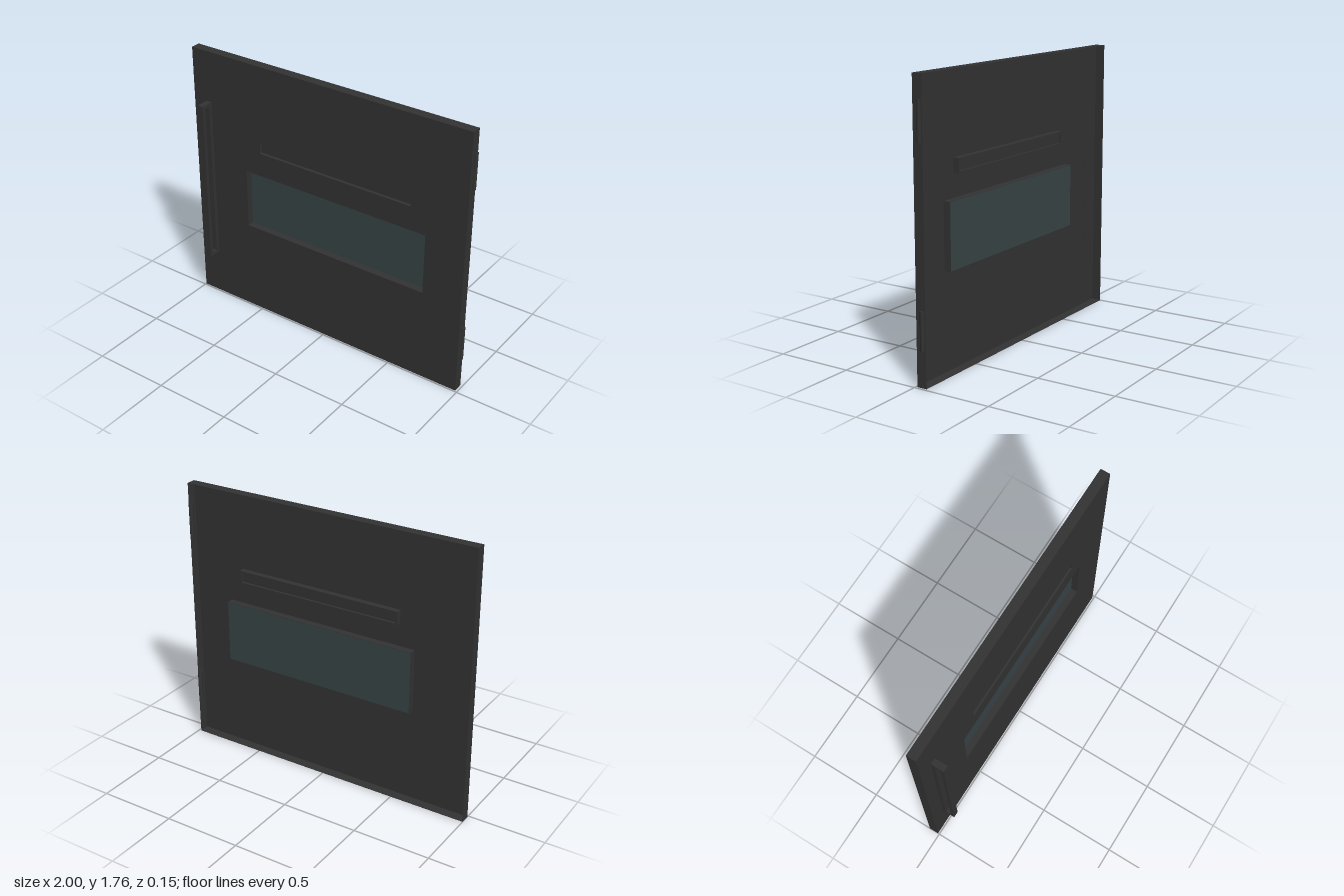
import * as THREE from 'three';

const body = new THREE.MeshStandardMaterial({ color: 0x333333, side: THREE.DoubleSide });
const glass = new THREE.MeshStandardMaterial({ color: 0x384446, side: THREE.DoubleSide });

// Rectangles are [x0, x1, y0, y1]
function rectPath(target, [x0, x1, y0, y1]) {
  target.moveTo(x0, y0);
  target.lineTo(x1, y0);
  target.lineTo(x1, y1);
  target.lineTo(x0, y1);
  target.closePath();
  return target;
}

const inset = ([x0, x1, y0, y1], t) => [x0 + t, x1 - t, y0 + t, y1 - t];

// Flat plate with rectangular holes, reaching from zBack to zFront
function plate(name, rect, holes, zBack, zFront, material = body) {
  const shape = rectPath(new THREE.Shape(), rect);
  for (const h of holes) shape.holes.push(rectPath(new THREE.Path(), h));
  const geo = new THREE.ExtrudeGeometry(shape, { depth: zFront - zBack, bevelEnabled: false });
  geo.translate(0, 0, zBack);
  const mesh = new THREE.Mesh(geo, material);
  mesh.name = name;
  return mesh;
}

export function createModel() {
  const model = new THREE.Group();
  model.name = 'door';

  const door = [-1, 0.985, 0, 1.76];
  const pane = [-0.6, 0.72, 0.615, 1.015];
  const slot = [-0.5, 0.625, 1.16, 1.25];
  const front = -0.01, back = -0.073, skin = 0.003;

  // Door leaf: front skin and a thin rim, open at the back
  model.add(plate('frontPanel', door, [pane, slot], front - skin, front));
  model.add(plate('panelRim', door, [inset(door, 0.003)], back, front - skin));

  // Window: walls running back to a sheet of glass
  model.add(plate('windowFrame', inset(pane, -0.002), [pane], -0.058, front - skin));
  model.add(plate('windowGlass', pane, [], -0.058, -0.055, glass));

  // Slot: a frame with a closing flap set inside it
  const opening = inset(slot, 0.013);
  model.add(plate('slotFrame', slot, [opening], -0.05, front));
  model.add(plate('slotFlap', opening, [], -0.034, -0.03));

  // Handle: a tall closed loop, drawn in the z-y plane and turned to face sideways
  const loop = rectPath(new THREE.Shape(), [-0.014, 0.075, 0.315, 1.42]);
  loop.holes.push(rectPath(new THREE.Path(), [0.014, 0.053, 0.335, 1.4]));
  const handleGeo = new THREE.ExtrudeGeometry(loop, { depth: 0.04, bevelEnabled: false });
  handleGeo.rotateY(-Math.PI / 2);
  const handle = new THREE.Mesh(handleGeo, body);
  handle.name = 'handle';
  handle.position.x = -0.865;
  model.add(handle);

  // Hinge pins on the left edge
  for (const [name, y] of [['lowerHinge', 0.335], ['upperHinge', 1.505]]) {
    const hinge = new THREE.Mesh(new THREE.CylinderGeometry(0.014, 0.014, 0.23, 8), body);
    hinge.name = name;
    hinge.position.set(0.986, y, -0.052);
    model.add(hinge);
  }

  return model;
}
